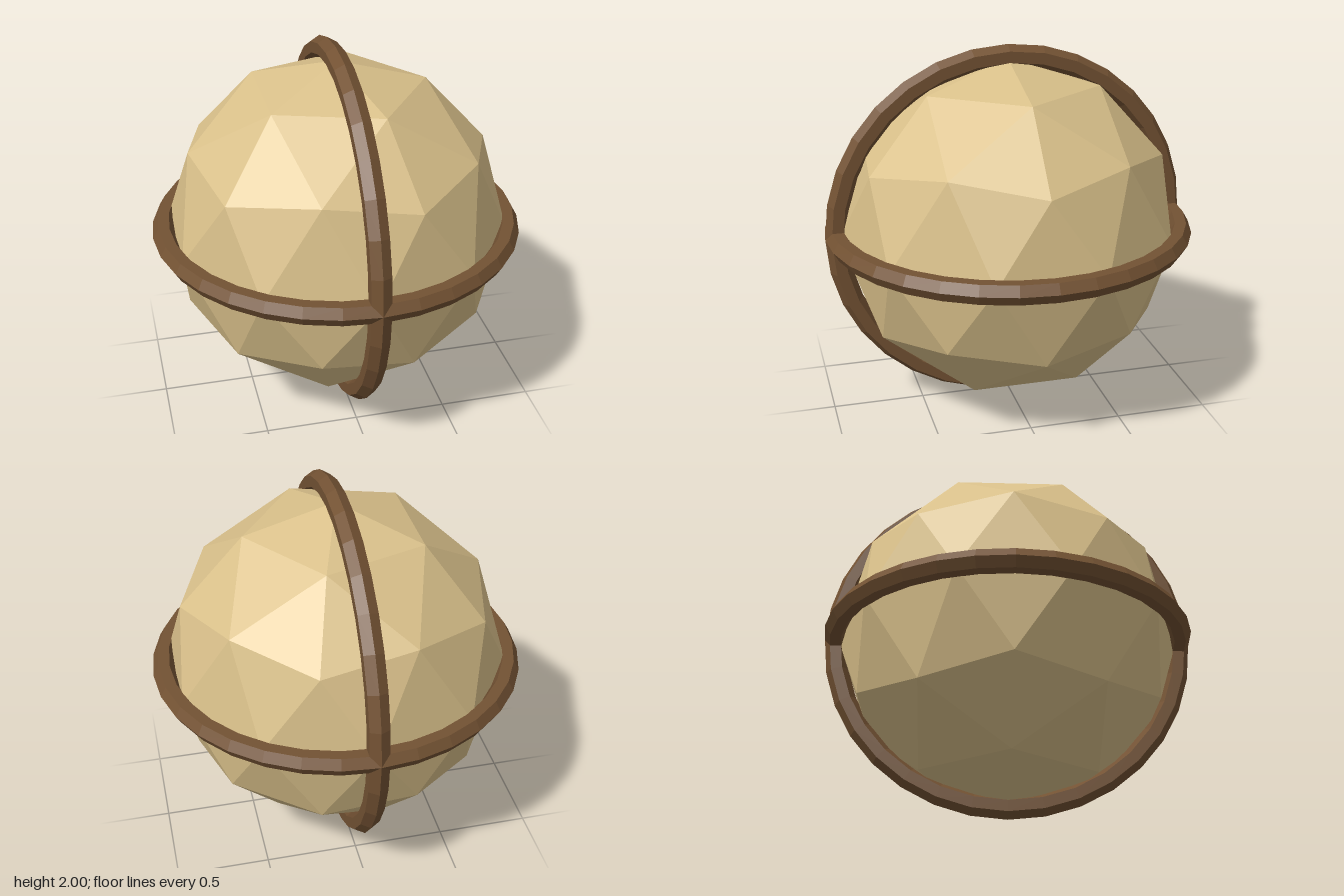
import * as THREE from 'three';

// Gives every face its own normal for a faceted look
function faceted(geometry) {
  const flat = geometry.index ? geometry.toNonIndexed() : geometry;
  flat.computeVertexNormals();
  return flat;
}

export function createModel() {
  const straw = new THREE.MeshStandardMaterial({ color: 0xd9c08a });
  straw.name = 'straw';
  const wood = new THREE.MeshStandardMaterial({ color: 0x735233 });
  wood.name = 'brownWood';

  const model = new THREE.Group();
  model.name = 'bandedBall';

  function add(name, geometry, material) {
    const mesh = new THREE.Mesh(faceted(geometry), material);
    mesh.name = name;
    mesh.position.y = 1;
    model.add(mesh);
  }

  // Low-poly ball, tipped so one five-sided corner points straight up
  const tilt = Math.atan(2 / (1 + Math.sqrt(5)));
  add('ball', new THREE.IcosahedronGeometry(0.925, 1).rotateZ(-tilt), straw);

  // Two crossing hexagonal hoops
  const hoop = () => new THREE.TorusGeometry(0.94, 0.06, 6, 32);
  add('uprightHoop', hoop().rotateY(Math.PI / 2), wood);
  add('levelHoop', hoop().rotateX(Math.PI / 2), wood);

  return model;
}
